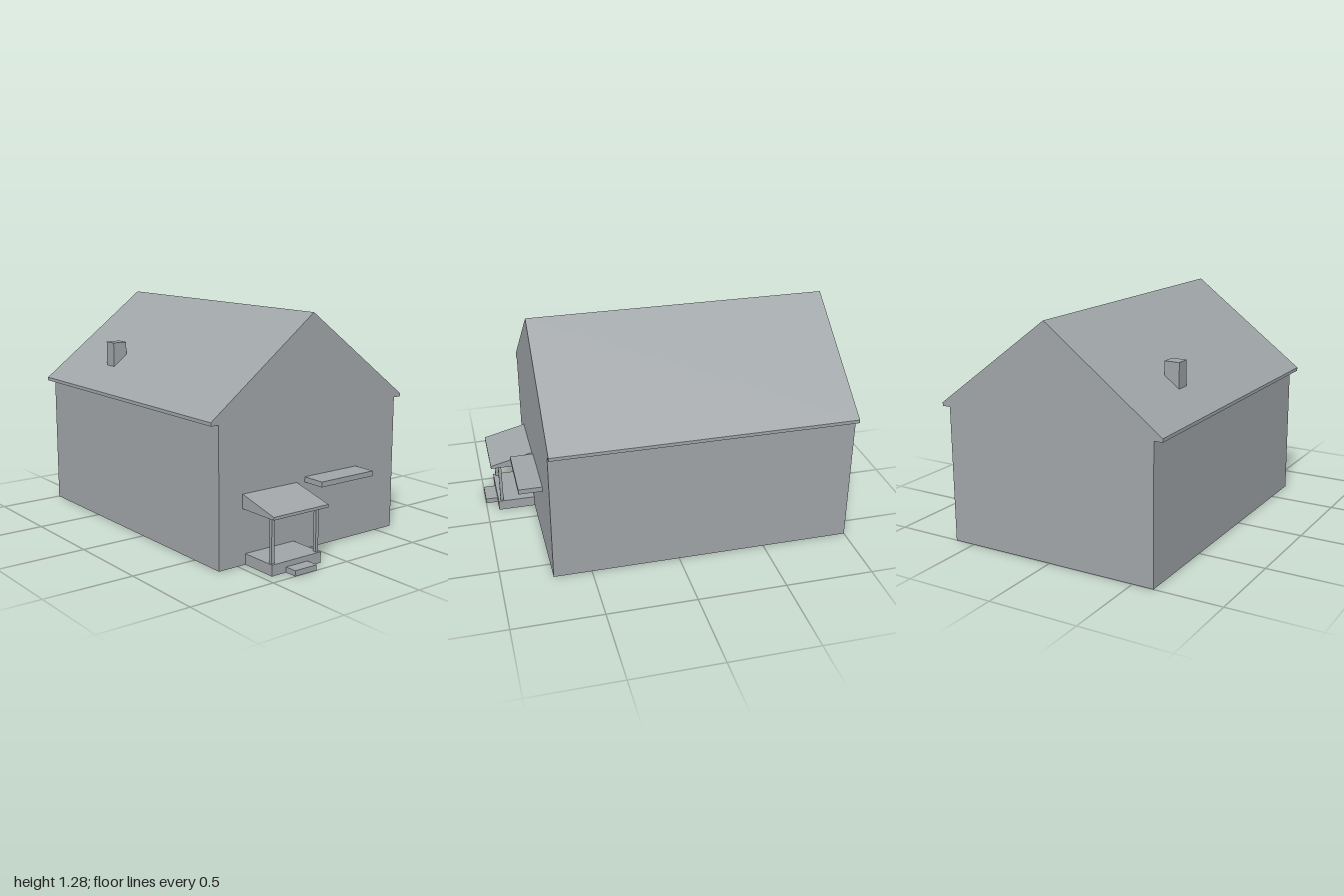
import * as THREE from 'three';
import { mergeGeometries } from 'three/addons/utils/BufferGeometryUtils.js';

const FRONT = 0.714, BACK = -1, WALL = 0.62, EAVE = 0.668, RIDGE = 1.28;
const PITCH = 0.75;
const roofY = (x) => RIDGE - PITCH * Math.abs(x);

const points = (list) => list.map(([x, y]) => new THREE.Vector2(x, y));
const rect = (x0, x1, y0, y1) => [[x0, y0], [x1, y0], [x1, y1], [x0, y1]];

// Flat panel in the xy plane, facing +z, with optional openings
function panel(outline, holes = [], z = 0) {
  const shape = new THREE.Shape(points(outline));
  holes.forEach((h) => shape.holes.push(new THREE.Path(points(h))));
  return new THREE.ShapeGeometry(shape).translate(0, 0, z).toNonIndexed();
}

// Strips joining a counter-clockwise profile at z0 and z1, leaving out the open edges
function strips(profile, z0, z1, open) {
  const pos = [], uv = [];
  profile.forEach(([ax, ay], i) => {
    if (open.includes(i)) return;
    const [bx, by] = profile[(i + 1) % profile.length];
    pos.push(ax, ay, z0, bx, by, z0, bx, by, z1, ax, ay, z0, bx, by, z1, ax, ay, z1);
    uv.push(0, 0, 1, 0, 1, 1, 0, 0, 1, 1, 0, 1);
  });
  const g = new THREE.BufferGeometry();
  g.setAttribute('position', new THREE.Float32BufferAttribute(pos, 3));
  g.setAttribute('uv', new THREE.Float32BufferAttribute(uv, 2));
  g.computeVertexNormals();
  return g;
}

// Hollow prism along z with closed ends
function shell(profile, z0, z1, open) {
  const backEnd = panel(profile.map(([x, y]) => [-x, y]).reverse()).rotateY(Math.PI).translate(0, 0, z0);
  return mergeGeometries([strips(profile, z0, z1, open), panel(profile, [], z1), backEnd]);
}

// Hollow prism along x from a [z, y] profile
const shellX = (profile, x0, x1, open) => shell(profile, -x1, -x0, open).rotateY(-Math.PI / 2);

export function createModel() {
  const model = new THREE.Group();
  const grey = new THREE.MeshStandardMaterial({ color: 0xa0a5a8, side: THREE.DoubleSide });
  grey.name = 'plain grey';
  const add = (name, geometry) => {
    const mesh = new THREE.Mesh(geometry, grey);
    mesh.name = name;
    model.add(mesh);
  };

  // Main dimensions of the attached parts
  const base = { x0: -0.45, x1: -0.121, h: 0.06, z: 0.93 };
  const step = { x0: -0.357, x1: -0.213, h: 0.03, z: 1 };
  const porch = { x0: -0.468, x1: -0.103, y0: 0.304, y1: 0.32, y2: 0.382, z: 0.961 };
  const canopy = { x0: -0.047, x1: 0.33, y0: 0.375, y1: 0.404, z: 0.848 };
  const stack = { x0: -0.51, x1: -0.425, z0: -0.54, z1: -0.46, top: 1.037 };

  // House side walls and eaves, open underneath
  const upper = [
    [WALL, 0.76], [EAVE, 0.76], [EAVE, roofY(EAVE)], [0, RIDGE],
    [-EAVE, roofY(EAVE)], [-EAVE, 0.76], [-WALL, 0.76], [-WALL, 0],
  ];
  const gable = [...upper, [WALL, 0]];
  add('sideWalls', strips(gable, BACK, FRONT, [2, 3, 7]));

  // Gable walls; the front opens into the porch and canopy
  add('backWall', panel(gable).rotateY(Math.PI).translate(0, 0, BACK));
  const frontOutline = [
    ...upper, [base.x0, 0], [base.x0, base.h], [base.x1, base.h], [base.x1, 0], [WALL, 0],
  ];
  add('frontWall', panel(frontOutline, [
    rect(porch.x0, porch.x1, porch.y0, porch.y2),
    rect(canopy.x0, canopy.x1, canopy.y0, canopy.y1),
  ], FRONT));

  // Roof slopes: flat panels raised to the pitch
  for (const side of [-1, 1]) {
    const [x0, x1] = side < 0 ? [-EAVE, 0] : [0, EAVE];
    const holes = side < 0 ? [rect(stack.x0, stack.x1, -stack.z1, -stack.z0)] : [];
    const slope = panel(rect(x0, x1, -FRONT, -BACK), holes).rotateX(-Math.PI / 2);
    const p = slope.attributes.position;
    for (let i = 0; i < p.count; i++) p.setY(i, roofY(p.getX(i)));
    slope.computeVertexNormals();
    add(side < 0 ? 'rightRoofSlope' : 'leftRoofSlope', slope);
  }

  // Chimney cut along the roof slope
  add('chimney', shell([
    [stack.x0, roofY(stack.x0)], [stack.x1, roofY(stack.x1)],
    [stack.x1, stack.top], [stack.x0, stack.top],
  ], stack.z0, stack.z1, [0]));

  // Porch floor and step, open underneath and joined to each other
  add('porchFloor', shellX(rect(FRONT, base.z, 0, base.h), base.x0, base.x1, [0, 1, 3]));
  add('porchFloorFront', panel([
    [base.x0, 0], [step.x0, 0], [step.x0, step.h], [step.x1, step.h],
    [step.x1, 0], [base.x1, 0], [base.x1, base.h], [base.x0, base.h],
  ], [], base.z));
  add('porchStep', shellX(rect(base.z, step.z, 0, step.h), step.x0, step.x1, [0, 3]));

  // Porch roof and window canopy, open towards the house
  add('porchRoof', shellX([
    [FRONT, porch.y0], [porch.z, porch.y0], [porch.z, porch.y1], [FRONT, porch.y2],
  ], porch.x0, porch.x1, [3]));
  add('canopy', shellX(rect(FRONT, canopy.z, canopy.y0, canopy.y1), canopy.x0, canopy.x1, [3]));

  // Porch posts
  for (const x of [-0.434, -0.138]) {
    add('porchPost', shellX(rect(0.899, 0.917, base.h, porch.y0), x - 0.009, x + 0.009, [0, 2]));
  }
  return model;
}
